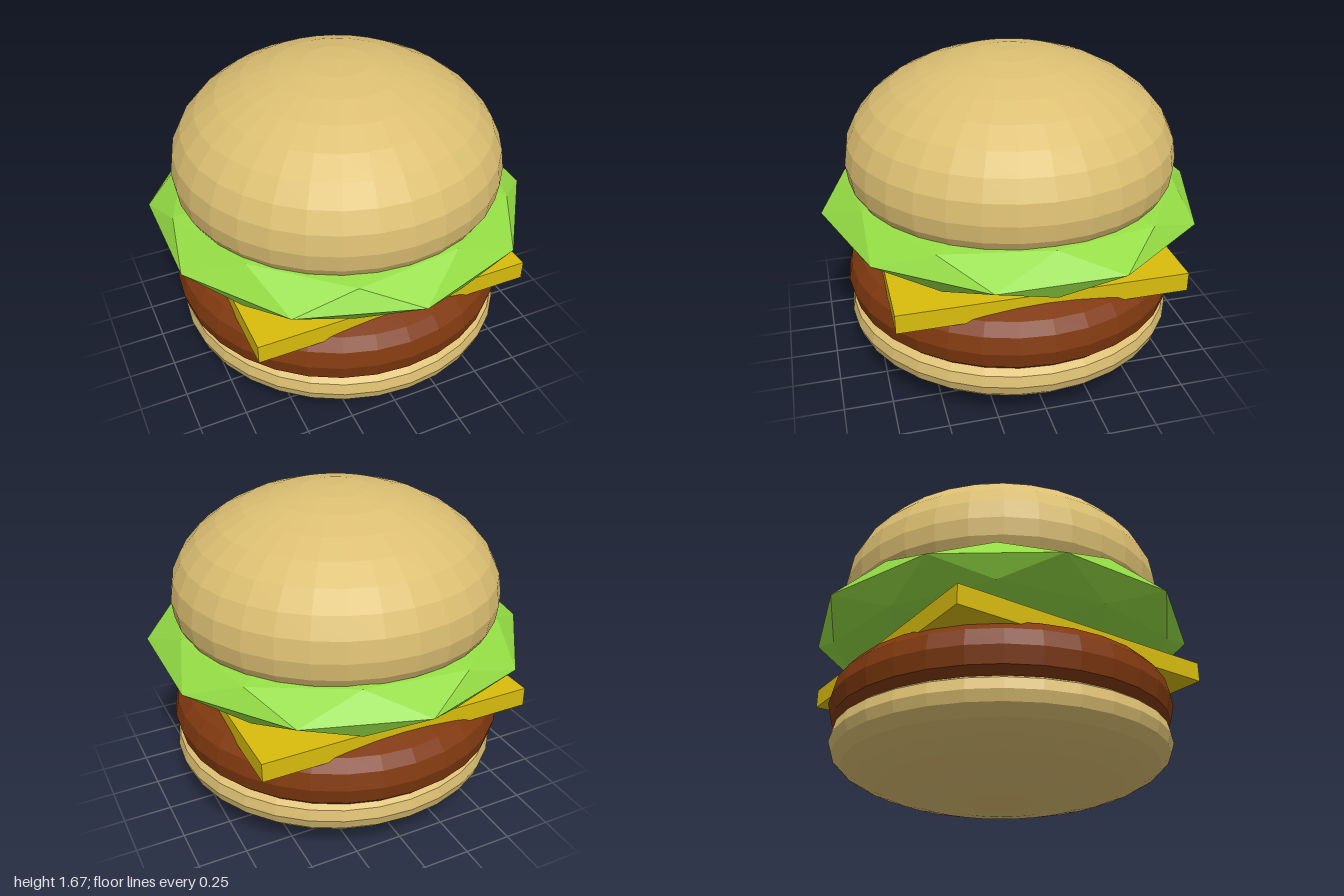
import * as THREE from 'three';

const V = (x, y) => new THREE.Vector2(x, y);

function mat(color) {
  return new THREE.MeshStandardMaterial({ color, flatShading: true });
}

// Quarter ellipse in rings, from the widest ring towards the pole (h is signed).
function quarter(r, y, h, rings = 8) {
  return Array.from({ length: rings + 1 }, (_, i) => {
    const a = (i / rings) * Math.PI / 2;
    return V(i === rings ? 0 : r * Math.cos(a), y + h * Math.sin(a));
  });
}

function addMesh(group, name, geometry, material) {
  const mesh = new THREE.Mesh(geometry, material);
  mesh.name = name;
  group.add(mesh);
  return mesh;
}

export function createModel() {
  const group = new THREE.Group();
  group.name = 'burger';
  const bun = mat(0xdcbf72);
  const lathe = (points) => new THREE.LatheGeometry(points, 32);

  // Bottom bun: deep rounded base with a shallow, flattened top
  const bottom = addMesh(group, 'bottomBun', lathe([
    ...quarter(0.878, 0.275, -0.27).reverse(),
    V(0.865, 0.332), V(0.83, 0.357), V(0.7, 0.362), V(0, 0.365),
  ]), bun);
  bottom.position.set(0.01, 0, 0.008);

  // Patty: flattened disc with a rounded rim that pushes into the cheese
  addMesh(group, 'patty', lathe([
    V(0, 0.3), V(0.73, 0.3), V(0.82, 0.335), V(0.87, 0.385), V(0.89, 0.47),
    V(0.87, 0.555), V(0.82, 0.612), V(0.73, 0.643), V(0.55, 0.665), V(0, 0.68),
  ]), mat(0x80390f));

  // Square cheese slice
  const cheese = addMesh(group, 'cheese', new THREE.BoxGeometry(1.46, 0.1, 1.46), mat(0xd9bd0d));
  cheese.position.y = 0.645;

  // Lettuce: faceted ball with a corner turned upwards, then squashed
  const leaf = new THREE.IcosahedronGeometry(1, 1);
  leaf.rotateZ(Math.atan(2 / (1 + Math.sqrt(5))));
  leaf.scale(1, 0.23, 1);
  leaf.translate(0, 0.885, 0);
  leaf.computeVertexNormals();
  addMesh(group, 'lettuce', leaf, mat(0x94dc44));

  // Top bun: tall dome with a short tucked-in underside
  addMesh(group, 'topBun', lathe([
    V(0, 0.96), V(0.7, 0.97), V(0.82, 1.005), V(0.845, 1.05),
    ...quarter(0.857, 1.14, 0.535),
  ]), bun);

  return group;
}
